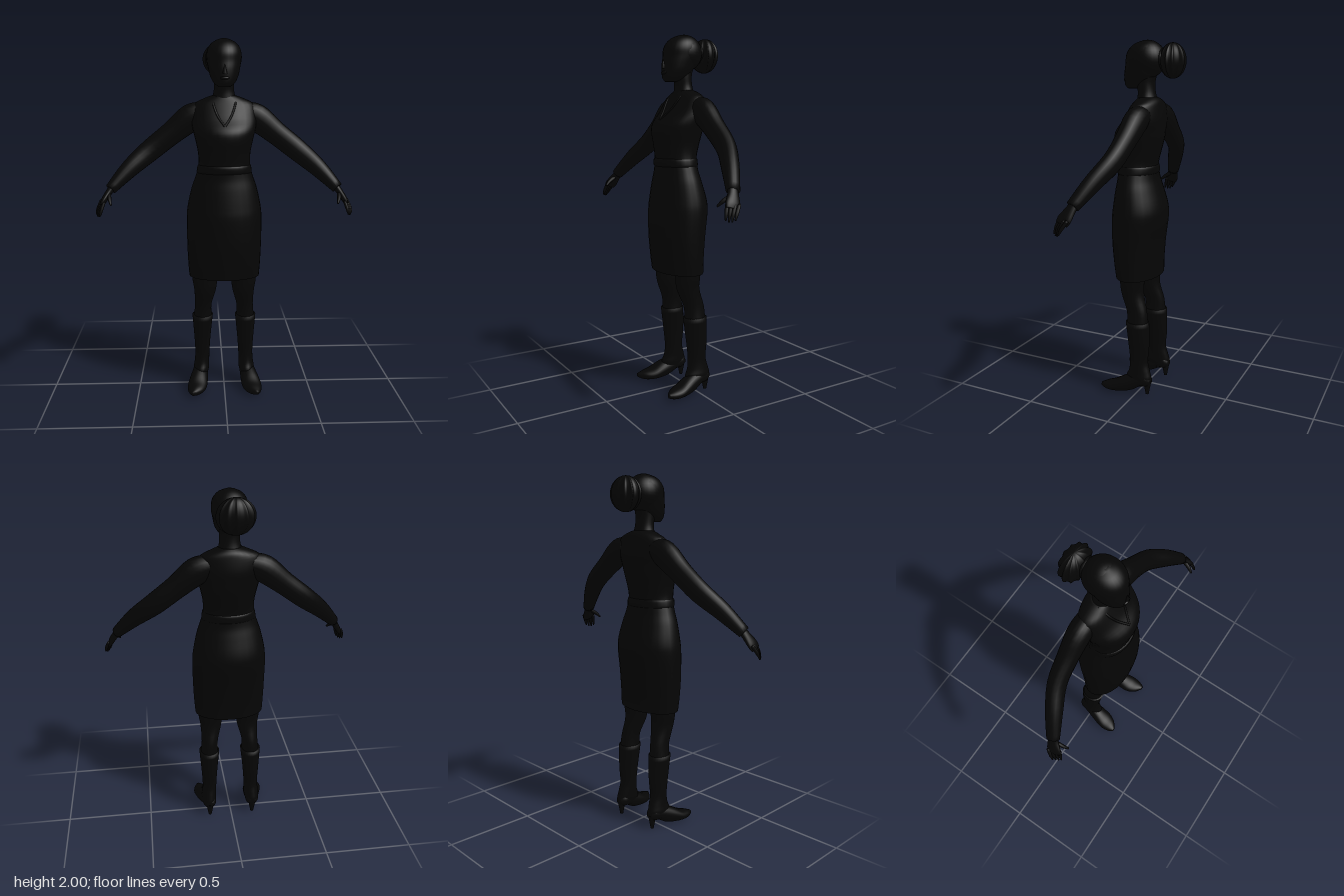
import * as THREE from 'three';

const V = (x, y, z) => new THREE.Vector3(x, y, z);

// Smoothly subdivide a list of numeric rows
function smooth(rows, steps) {
  const out = [];
  const last = rows.length - 1;
  const at = (i) => rows[Math.min(last, Math.max(0, i))];
  for (let i = 0; i < last; i++) {
    for (let s = 0; s < steps; s++) {
      const t = s / steps;
      out.push(rows[i].map((b, k) => {
        const a = at(i - 1)[k], c = at(i + 1)[k], d = at(i + 2)[k];
        return b + 0.5 * t * (c - a + t * (2 * a - 5 * b + 4 * c - d + t * (3 * (b - c) + d - a)));
      }));
    }
  }
  out.push(rows[last]);
  return out;
}

// Skin elliptical rings {c, u, v}; ends are closed unless open is set
function skin(rings, open = false, n = 28) {
  const axis = rings[rings.length - 1].c.clone().sub(rings[0].c);
  const mid = rings[rings.length >> 1];
  const flip = mid.u.clone().cross(mid.v).dot(axis) < 0 ? -1 : 1;
  const pos = [], index = [];
  for (const { c, u, v } of rings) {
    for (let j = 0; j < n; j++) {
      const a = (j / n) * Math.PI * 2;
      const p = c.clone().addScaledVector(u, Math.cos(a)).addScaledVector(v, flip * Math.sin(a));
      pos.push(p.x, p.y, p.z);
    }
  }
  const m = rings.length;
  for (let i = 0; i < m - 1; i++) {
    for (let j = 0; j < n; j++) {
      const k = (j + 1) % n, a = i * n + j, b = i * n + k;
      index.push(a, b, b + n, a, b + n, a + n);
    }
  }
  if (!open) {
    pos.push(...rings[0].c.toArray(), ...rings[m - 1].c.toArray());
    for (let j = 0; j < n; j++) {
      const k = (j + 1) % n, e = (m - 1) * n;
      index.push(m * n, k, j, m * n + 1, e + j, e + k);
    }
  }
  const g = new THREE.BufferGeometry();
  g.setAttribute('position', new THREE.Float32BufferAttribute(pos, 3));
  g.setIndex(index);
  g.computeVertexNormals();
  return g;
}

// Upright form: rows of [y, centre x, half width, front z, back z]
const stack = (rows, s = 1, open = false) => skin(smooth(rows, 4).map(([y, x, r, f, b]) => (
  { c: V(s * x, y, (f + b) / 2), u: V(r, 0, 0), v: V(0, 0, (f - b) / 2) })), open);

// Limb along a path: rows of [x, y, z, thickness, width along z]
function limb(rows, s, n = 20) {
  const r = smooth(rows, 4);
  const pts = r.map(([x, y, z]) => V(s * x, y, z));
  return skin(r.map((row, i) => {
    const t = pts[Math.min(i + 1, pts.length - 1)].clone().sub(pts[Math.max(i - 1, 0)]).normalize();
    const w = V(0, 0, 1).addScaledVector(t, -t.z).normalize();
    return { c: pts[i], u: t.clone().cross(w).multiplyScalar(row[3]), v: w.multiplyScalar(row[4]) };
  }), false, n);
}

// Shoe form: rows of [z, centre x, half width, bottom y, top y]
const shoe = (rows, s) => skin(smooth(rows, 4).map(([z, x, w, b, t]) => (
  { c: V(s * x, (b + t) / 2, z), u: V(w, 0, 0), v: V(0, (t - b) / 2, 0) })));

export function createModel() {
  const model = new THREE.Group();
  const black = new THREE.MeshStandardMaterial({ color: 0x050505, side: THREE.DoubleSide });
  black.name = 'black';
  const add = (name, geometry, parent = model) => {
    const mesh = new THREE.Mesh(geometry, black);
    mesh.name = name;
    parent.add(mesh);
    return mesh;
  };
  const ball = (name, p, size) => {
    const mesh = add(name, new THREE.SphereGeometry(1, 28, 20));
    mesh.position.set(...p);
    mesh.scale.set(...size);
    return mesh;
  };

  // Head, hair and neck
  add('head', stack([
    [1.745, 0, 0.03, 0.115, 0.05], [1.765, 0, 0.056, 0.128, 0.0], [1.8, 0, 0.075, 0.13, -0.04],
    [1.84, 0, 0.085, 0.128, -0.07], [1.88, 0, 0.092, 0.121, -0.09], [1.92, 0, 0.094, 0.117, -0.096],
    [1.955, 0, 0.083, 0.098, -0.085], [1.982, 0, 0.057, 0.065, -0.06], [1.998, 0, 0.015, 0.02, -0.02],
  ]));
  ball('hair', [0, 1.9, -0.003], [0.097, 0.1, 0.1]);
  add('neck', stack([
    [1.67, 0, 0.07, 0.055, -0.06], [1.72, 0, 0.056, 0.05, -0.046],
    [1.77, 0, 0.055, 0.056, -0.042], [1.81, 0, 0.055, 0.06, -0.05],
  ]));
  const nose = add('nose', new THREE.ConeGeometry(0.014, 0.05, 12));
  nose.position.set(0, 1.84, 0.129);
  nose.rotation.x = 0.15;
  ball('lips', [0, 1.792, 0.126], [0.024, 0.009, 0.012]);

  // Bun with raised ridges of hair
  const bunGeometry = new THREE.SphereGeometry(1, 96, 24);
  const p = bunGeometry.attributes.position;
  for (let i = 0; i < p.count; i++) {
    const a = Math.atan2(p.getZ(i), p.getX(i));
    const k = 0.92 + 0.1 * Math.pow(Math.abs(Math.cos(a * 6)), 6);
    p.setXYZ(i, p.getX(i) * k, p.getY(i), p.getZ(i) * k);
  }
  bunGeometry.computeVertexNormals();
  const bun = add('hairBun', bunGeometry);
  bun.position.set(-0.012, 1.892, -0.145);
  bun.scale.set(0.1, 0.094, 0.065);
  ball('hairTie', [-0.005, 1.9, -0.09], [0.055, 0.055, 0.03]);

  // Jacket body, waistband and neckline
  add('jacket', stack([
    [1.7, 0, 0.06, 0.045, -0.055], [1.682, 0, 0.11, 0.055, -0.075], [1.65, 0, 0.165, 0.072, -0.085],
    [1.58, 0, 0.18, 0.115, -0.096], [1.52, 0, 0.172, 0.168, -0.093], [1.47, 0, 0.16, 0.18, -0.088],
    [1.4, 0, 0.145, 0.17, -0.07], [1.34, 0, 0.142, 0.16, -0.054], [1.28, 0, 0.15, 0.155, -0.052],
  ]));
  add('waistband', stack([
    [1.33, 0, 0.14, 0.155, -0.05], [1.32, 0, 0.147, 0.166, -0.058],
    [1.29, 0, 0.152, 0.164, -0.058], [1.28, 0, 0.148, 0.15, -0.05],
  ]));
  for (const s of [1, -1]) {
    const edge = new THREE.CatmullRomCurve3([
      V(s * 0.062, 1.695, 0.012), V(s * 0.058, 1.65, 0.066), V(s * 0.035, 1.59, 0.106), V(0, 1.54, 0.152)]);
    add('neckline', new THREE.TubeGeometry(edge, 16, 0.006, 8));
  }

  // Skirt, open at the hem
  add('skirt', stack([
    [1.3, 0, 0.146, 0.158, -0.053], [1.25, 0, 0.163, 0.16, -0.06], [1.19, 0, 0.183, 0.17, -0.078],
    [1.1, 0, 0.203, 0.183, -0.104], [1.03, 0, 0.21, 0.19, -0.109], [0.9, 0, 0.209, 0.188, -0.092],
    [0.78, 0, 0.205, 0.177, -0.081], [0.69, 0, 0.199, 0.166, -0.079],
  ], 1, true));

  // Mirrored arms, hands, legs and shoes
  for (const s of [1, -1]) {
    const side = new THREE.Group();
    side.name = s > 0 ? 'leftLimbs' : 'rightLimbs';
    model.add(side);
    add('sleeve', limb([
      [0.1, 1.61, -0.015, 0.055, 0.055], [0.18, 1.578, -0.016, 0.075, 0.062], [0.29, 1.492, -0.013, 0.064, 0.054],
      [0.41, 1.398, 0.0, 0.06, 0.049], [0.52, 1.305, 0.052, 0.049, 0.045], [0.62, 1.202, 0.108, 0.031, 0.036],
    ], s), side);
    add('palm', limb([
      [0.605, 1.22, 0.1, 0.02, 0.026], [0.63, 1.185, 0.114, 0.018, 0.03],
      [0.655, 1.145, 0.133, 0.016, 0.04], [0.668, 1.12, 0.144, 0.01, 0.036],
    ], s), side);
    for (let k = 0; k < 4; k++) {
      const long = [0.008, 0, 0, 0.006][k];
      add('finger', limb([
        [0.672 - 0.007 * k, 1.14, 0.108 + 0.019 * k, 0.009, 0.009],
        [0.688 - 0.008 * k, 1.1, 0.133 + 0.015 * k, 0.009, 0.009],
        [0.695 - 0.008 * k, 1.062 + long, 0.147 + 0.013 * k, 0.004, 0.004],
      ], s, 10), side);
    }
    add('thumb', limb([
      [0.628, 1.18, 0.125, 0.012, 0.012], [0.62, 1.155, 0.165, 0.01, 0.011], [0.61, 1.13, 0.193, 0.005, 0.005],
    ], s, 10), side);

    add('leg', stack([
      [0.9, 0.105, 0.085, 0.13, -0.06], [0.69, 0.111, 0.073, 0.113, -0.03], [0.6, 0.11, 0.062, 0.104, -0.026],
      [0.5, 0.121, 0.048, 0.068, -0.052], [0.41, 0.125, 0.053, 0.063, -0.06],
    ], s), side);
    add('boot', stack([
      [0.437, 0.125, 0.06, 0.072, -0.066], [0.3, 0.127, 0.048, 0.056, -0.07], [0.2, 0.128, 0.042, 0.046, -0.062],
      [0.14, 0.131, 0.043, 0.052, -0.076], [0.1, 0.134, 0.045, 0.068, -0.086], [0.06, 0.135, 0.036, 0.06, -0.078],
    ], s), side);
    add('foot', shoe([
      [-0.084, 0.131, 0.02, 0.068, 0.1], [-0.06, 0.132, 0.038, 0.05, 0.13], [-0.02, 0.136, 0.043, 0.042, 0.13],
      [0.03, 0.144, 0.048, 0.014, 0.118], [0.08, 0.152, 0.054, 0.003, 0.096], [0.13, 0.16, 0.055, 0.001, 0.068],
      [0.175, 0.169, 0.04, 0.005, 0.054], [0.208, 0.182, 0.012, 0.018, 0.042],
    ], s), side);
    const heel = add('heel', new THREE.CylinderGeometry(0.024, 0.009, 0.08, 16), side);
    heel.position.set(s * 0.132, 0.04, -0.062);
  }
  return model;
}
